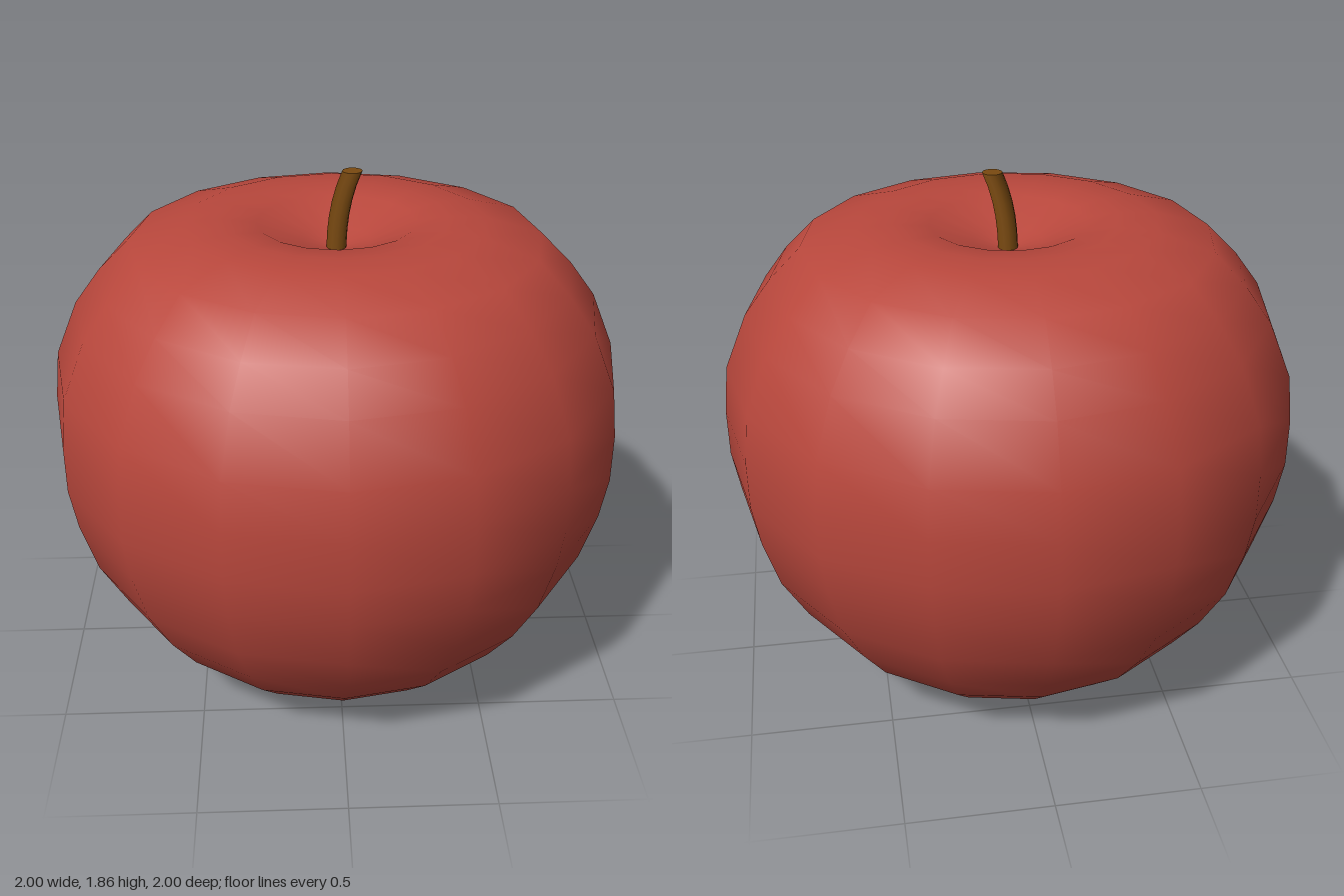
import * as THREE from 'three';

// Half outline of the fruit from the base centre, up the side and into the dimple: [radius, height]
const PROFILE = [
  [0, 0], [0.33, 0], [0.6, 0.115], [0.73, 0.235], [0.83, 0.37], [0.92, 0.535],
  [0.975, 0.72], [1, 0.87], [1, 1.04], [0.98, 1.21], [0.9, 1.4], [0.81, 1.52],
  [0.7, 1.63], [0.51, 1.686], [0.38, 1.692], [0.27, 1.68], [0.12, 1.615], [0, 1.58],
];

function createFruit() {
  const points = PROFILE.map(([r, y]) => new THREE.Vector2(r, y));
  const mesh = new THREE.Mesh(
    new THREE.LatheGeometry(points, 16),
    new THREE.MeshStandardMaterial({ color: 0xb8473c }),
  );
  mesh.name = 'fruitBody';
  return mesh;
}

// Upright cylinder whose upper part curves towards +x
function createStem() {
  const bottom = 1.55, top = 1.855;
  const geometry = new THREE.CylinderGeometry(0.034, 0.034, top - bottom, 12, 6);
  geometry.translate(0, (top + bottom) / 2, 0);
  const position = geometry.attributes.position;
  for (let i = 0; i < position.count; i++) {
    const t = THREE.MathUtils.clamp((position.getY(i) - bottom) / (top - bottom), 0, 1);
    position.setX(i, position.getX(i) + 0.053 * t ** 2.5);
  }
  const mesh = new THREE.Mesh(geometry, new THREE.MeshStandardMaterial({ color: 0x7a4a10 }));
  mesh.name = 'stem';
  return mesh;
}

export function createModel() {
  const model = new THREE.Group();
  model.name = 'apple';
  model.add(createFruit(), createStem());
  return model;
}
